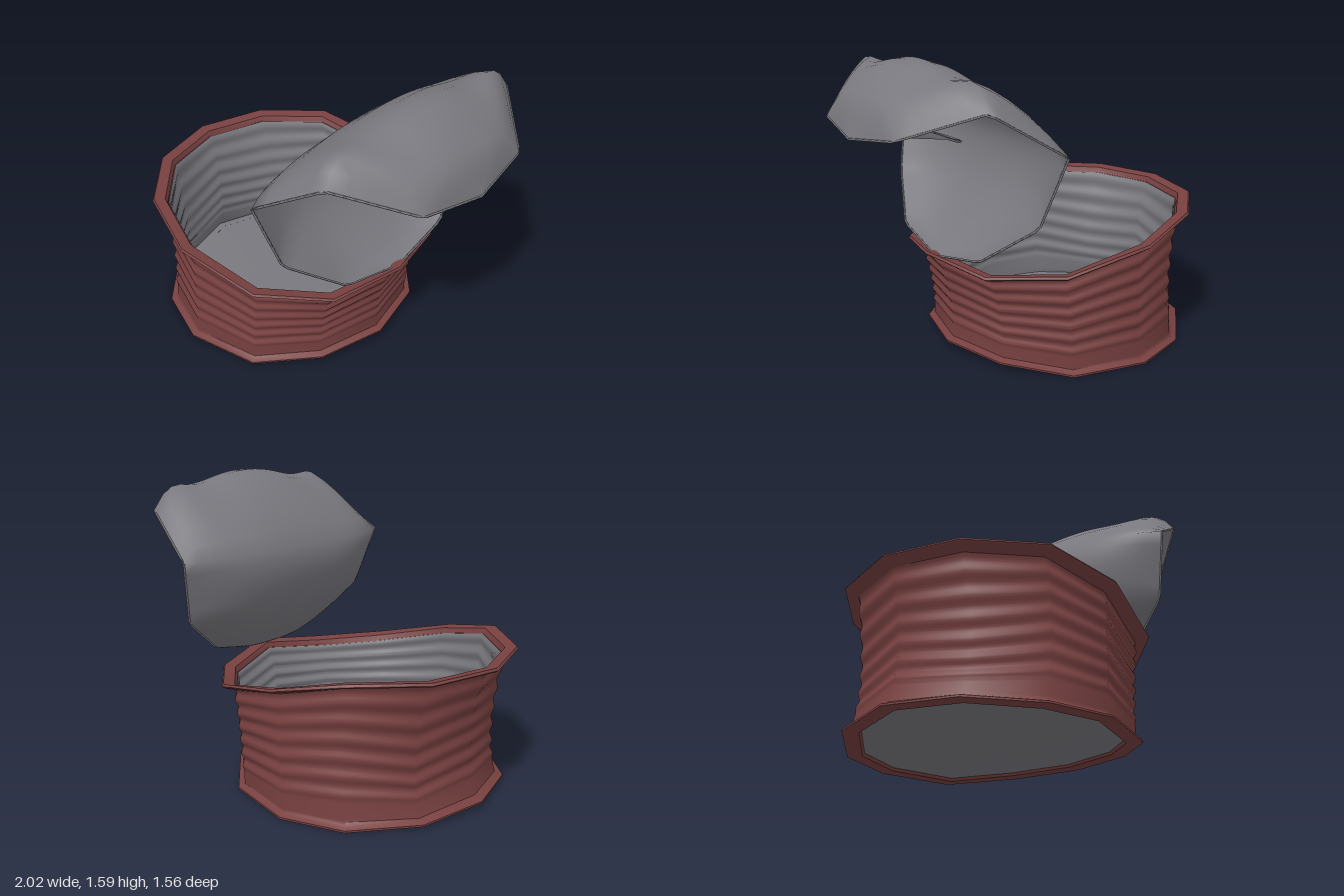
import * as THREE from 'three';
import { toCreasedNormals } from 'three/addons/utils/BufferGeometryUtils.js';

const SIDES = 12;
const { lerp } = THREE.MathUtils;
const makeMat = (color) => new THREE.MeshStandardMaterial({ color, side: THREE.DoubleSide });
const steel = makeMat(0x79787e);
const red = makeMat(0x784040);

// Surface through rows of points
function loft(rows, closed, crease) {
  const n = rows[0].length, index = [];
  for (let i = 0; i < rows.length - 1; i++) {
    for (let k = 0; k < (closed ? n : n - 1); k++) {
      const a = i * n + k, b = i * n + (k + 1) % n;
      index.push(a, a + n, b + n, a, b + n, b);
    }
  }
  const geo = new THREE.BufferGeometry().setFromPoints(rows.flat());
  geo.setIndex(index);
  return toCreasedNormals(geo, crease);
}

function add(group, name, geo, mat) {
  const mesh = new THREE.Mesh(geo, mat);
  mesh.name = name;
  group.add(mesh);
  return mesh;
}

// Dented can, every 30 degrees from the +x side to the -x side:
// heights of base and rim, and how far the ribs sag between them
const baseY = [0.05, 0.04, 0.0, 0.0, 0.0, 0.015, 0.03];
const rimY = [0.59, 0.545, 0.57, 0.67, 0.748, 0.748, 0.748];
const sag = [0, 0, 0, 0, 0, 0.06, 0.02];

// One ring of the can at height fraction t, pushed out by off and up by dy
function ring(t, off, dy = 0) {
  const left = -0.88 - 0.055 * (2 * t - 0.9) ** 2;
  const right = 0.45 - 0.04 * t + 0.12 * t * t;
  const cx = (left + right) / 2, rx = (right - left) / 2;
  return Array.from({ length: SIDES }, (_, k) => {
    const a = (k / SIDES) * Math.PI * 2, m = Math.min(k, SIDES - k);
    return new THREE.Vector3(
      cx + (rx + off) * Math.cos(a) - (m === 3 ? 0.035 : 0),
      lerp(baseY[m], rimY[m] - 0.04, t) + dy - sag[m] * Math.sin(Math.PI * t),
      0.015 + (0.7 + off) * Math.sin(a));
  });
}

// Ribbed wall rows
function wallRows(off) {
  const rows = [], steps = 56;
  for (let i = 0; i <= steps; i++) {
    const t = lerp(0.05, 1, i / steps);
    const ribs = t < 0.2 ? 0 : 0.006 * Math.sin(((t - 0.2) / 0.8) * 6 * Math.PI * 2);
    rows.push(ring(t, off + ribs));
  }
  return rows;
}

function buildCan() {
  const can = new THREE.Group();
  can.name = 'can';
  // Red outside with the seam flanges at base and rim
  add(can, 'outerWall', loft([
    ring(0, -0.055, 0.015), ring(0, -0.045, 0), ring(0, 0.035, 0), ring(0, 0.035, 0.01), ring(0, 0.005, 0.022),
    ...wallRows(0),
    ring(1, 0.055, 0.018), ring(1, 0.068, 0.028), ring(1, 0.06, 0.04), ring(1, 0.0, 0.03), ring(1, -0.012, 0.0),
  ], true, 0.7), red);
  // Bare metal lining
  add(can, 'innerWall', loft([...wallRows(-0.015).reverse(), ring(0, -0.015, 0.015)], true, 0.7), steel);
  // Floor
  const edge = ring(0, -0.01, 0.015);
  const middle = edge.map(() => new THREE.Vector3(-0.24, 0.03, 0.015));
  add(can, 'floor', loft([edge, middle], true, 0.7), steel);
  return can;
}

// Curled lid: stations from the hinge to the free tip, [x, y, half width] of the edge
const lidEdge = [
  [0.56, 0.57, 0], [0.53, 0.64, 0.37], [0.39, 0.86, 0.665], [0.3, 1.2, 0.76],
  [0.65, 1.42, 0.65], [0.95, 1.285, 0.355], [1.0, 1.24, 0],
];
const lidSpine = new THREE.CatmullRomCurve3([
  [0.56, 0.57], [0.44, 0.63], [0.2, 0.92], [0.17, 1.21], [0.62, 1.585], [0.91, 1.44], [1.0, 1.24],
].map(([x, y]) => new THREE.Vector3(x, y, 0)));

function lidPoint(s, u) {
  const i = Math.min(5, Math.floor(s)), f = s - i, v = Math.abs(u);
  const [ex, ey, w] = lidEdge[i].map((c, j) => lerp(c, lidEdge[i + 1][j], f));
  const spine = lidSpine.getPoint(s / 6);
  const blend = v ** 3.6;
  const crumple = -0.035 * Math.sin(2 * Math.PI * v * v) * Math.max(0, 1 - Math.abs(s - 4));
  return new THREE.Vector3(lerp(spine.x, ex, blend), lerp(spine.y, ey, blend) + crumple, w * u - 0.015);
}

function buildLid() {
  const lid = new THREE.Group();
  lid.name = 'lid';
  const rows = [];
  for (let i = 0; i <= 30; i++) {
    rows.push(Array.from({ length: 25 }, (_, k) => lidPoint(i / 5, k / 12 - 1)));
  }
  add(lid, 'lidSheet', loft(rows, false, 2.5), steel);
  // Thin lip along the cut edge
  const lip = new THREE.CurvePath();
  const loop = [0, 1, 2, 3, 4, 5, 6].map((s) => lidPoint(s, 1));
  for (const s of [5, 4, 3, 2, 1, 0]) loop.push(lidPoint(s, -1));
  for (let i = 0; i < 12; i++) lip.add(new THREE.LineCurve3(loop[i], loop[i + 1]));
  add(lid, 'lidLip', new THREE.TubeGeometry(lip, 96, 0.006, 4, true), steel);
  return lid;
}

// Pull tab: flat plate with two holes, bent along its length
function buildTab(group) {
  const mirrored = (half) => [...half, ...half.slice().reverse().map(([x, z]) => [x, -z])]
    .map(([x, z]) => new THREE.Vector2(x, z));
  const shape = new THREE.Shape(mirrored([
    [0.43, 0.07], [0.48, 0.12], [0.56, 0.14], [0.65, 0.13], [0.72, 0.115], [0.8, 0.13], [0.9, 0.12], [0.97, 0.06],
  ]));
  shape.holes.push(
    new THREE.Path(mirrored([[0.48, 0.05], [0.51, 0.085], [0.58, 0.095], [0.65, 0.085], [0.68, 0.04]])),
    new THREE.Path(mirrored([[0.75, 0.06], [0.79, 0.085], [0.84, 0.08], [0.87, 0.04]])));
  const geo = new THREE.ExtrudeGeometry(shape, { depth: 0.012, bevelEnabled: false });
  geo.rotateX(Math.PI / 2);
  const bend = [[0.43, 1.17], [0.5, 1.19], [0.65, 1.255], [0.8, 1.25], [1.0, 1.255]];
  const pos = geo.attributes.position;
  for (let i = 0; i < pos.count; i++) {
    const x = pos.getX(i);
    const j = Math.max(1, bend.findIndex((b) => b[0] >= x));
    const [x0, y0] = bend[j - 1], [x1, y1] = bend[j];
    pos.setXYZ(i, x, pos.getY(i) + lerp(y0, y1, (x - x0) / (x1 - x0)), pos.getZ(i) - 0.015);
  }
  add(group, 'pullTab', toCreasedNormals(geo, 0.6), steel);
  // Rivet joining tab and lid
  const rivet = add(group, 'rivet', new THREE.CylinderGeometry(0.03, 0.03, 0.05, 8), steel);
  rivet.position.set(0.93, 1.265, -0.015);
}

export function createModel() {
  const model = new THREE.Group();
  model.name = 'openedCan';
  const lid = buildLid();
  buildTab(lid);
  model.add(buildCan(), lid);
  return model;
}
